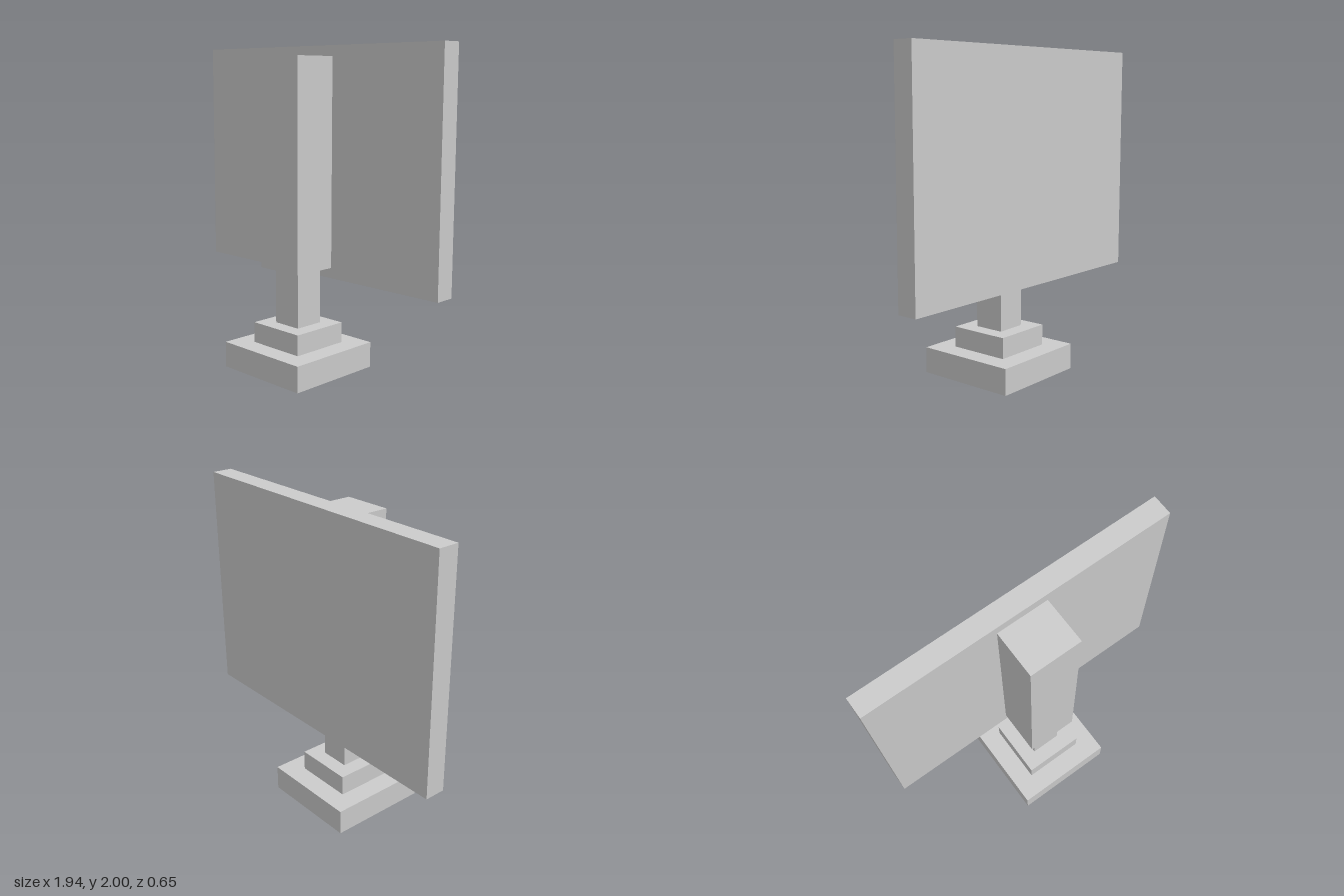
import * as THREE from 'three';

const U = 1 / 31; // modelling unit: the whole model is 62 units tall

export function createModel() {
  const model = new THREE.Group();
  model.name = 'panelOnStand';
  const material = new THREE.MeshStandardMaterial({ color: 0xcccccc, flatShading: true });

  // Box standing on height y0 and reaching y1, centred on x = 0
  function block(name, width, depth, y0, y1, z = 0) {
    const geometry = new THREE.BoxGeometry(width * U, (y1 - y0) * U, depth * U);
    const mesh = new THREE.Mesh(geometry, material);
    mesh.name = name;
    mesh.position.set(0, ((y0 + y1) / 2) * U, z * U);
    model.add(mesh);
  }

  // Stepped foot and slim post
  block('base', 20, 20, 0, 5);
  block('baseStep', 12, 12, 5, 9);
  block('post', 6, 6, 9, 20);

  // Thick column, its rear edge set into the panel
  block('column', 10, 10, 20, 60);

  // Wide panel behind the column
  block('panel', 60, 4, 18, 62, -6);

  return model;
}
